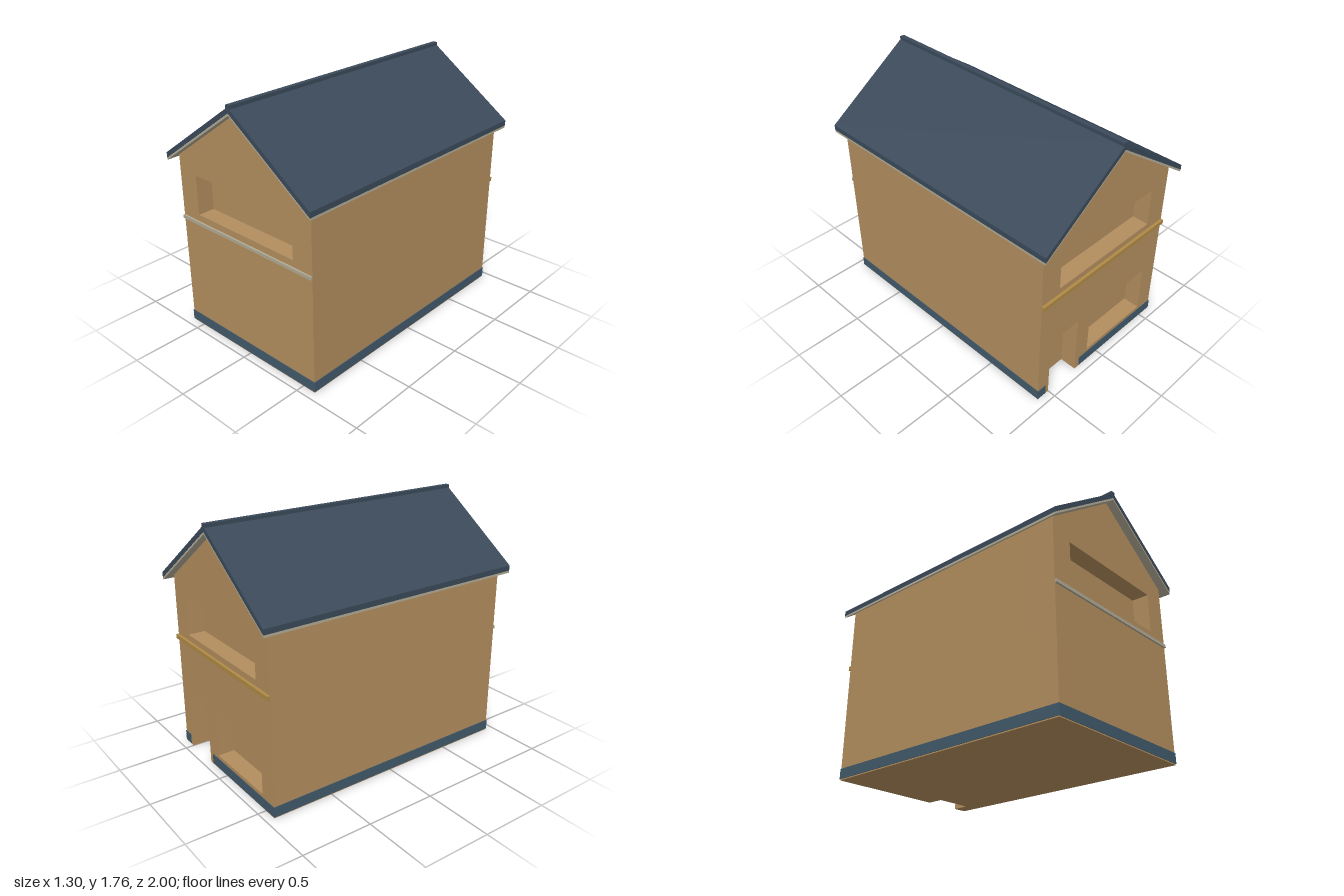
import * as THREE from 'three';

const W = 0.6, D = 0.94, RECESS = 0.12;      // half width, half depth, opening depth
const APEX = 1.695, SLOPE = 0.697, OVER = 0.65;
const EAVE = APEX - SLOPE * W;

const mat = (color) => new THREE.MeshStandardMaterial({ color, flatShading: true });

export function createModel() {
  const group = new THREE.Group();
  const wall = mat(0xb28d5e), roof = mat(0x3a4959), plinth = mat(0x41596a);
  const trim = mat(0xb0a994), backTrim = mat(0xb08a45);

  const add = (name, geometry, material) => {
    const mesh = new THREE.Mesh(geometry, material);
    mesh.name = name;
    group.add(mesh);
    return mesh;
  };
  const box = (name, x0, x1, y0, y1, z0, z1, material) => {
    const m = add(name, new THREE.BoxGeometry(x1 - x0, y1 - y0, z1 - z0), material);
    m.position.set((x0 + x1) / 2, (y0 + y1) / 2, (z0 + z1) / 2);
  };
  const polygon = (points) => new THREE.Shape(points.map(([x, y]) => new THREE.Vector2(x, y)));
  const rect = (x0, x1, y0, y1) => polygon([[x0, y0], [x0, y1], [x1, y1], [x1, y0]]);
  const extrude = (name, shape, z0, z1, material) => {
    const g = new THREE.ExtrudeGeometry(shape, { depth: z1 - z0, bevelEnabled: false });
    g.translate(0, 0, z0);
    add(name, g, material);
  };

  // Gabled outline, optionally with a doorway cut up from the ground
  const gable = (door = []) =>
    polygon([[-W, 0], ...door, [W, 0], [W, EAVE], [0, APEX], [-W, EAVE]]);

  // Core, with a pierced wall in front of it at each end
  extrude('houseCore', gable(), -D + RECESS, D - RECESS, wall);

  const front = gable();
  front.holes.push(rect(-0.44, 0.44, 0.89, 1.17));
  extrude('frontWall', front, D - RECESS, D, wall);

  const back = gable([[0.23, 0], [0.23, 0.46], [0.5, 0.46], [0.5, 0]]);
  back.holes.push(rect(-0.44, 0.44, 0.89, 1.17), rect(-0.465, 0.11, 0.105, 0.46));
  extrude('backWall', back, -D, -D + RECESS, wall);

  // Plinth strips, leaving a gap at the back door
  const P = 0.004, lo = 0.008, hi = 0.08;
  box('plinthFront', -W - P, W + P, lo, hi, D, D + P, plinth);
  for (const s of [-1, 1]) {
    box('plinthSide', s * W - (s < 0 ? P : 0), s * W + (s > 0 ? P : 0), lo, hi, -D - P, D + P, plinth);
  }
  box('plinthBackWide', -W - P, 0.19, lo, hi, -D - P, -D, plinth);
  box('plinthBackShort', 0.53, W + P, lo, hi, -D - P, -D, plinth);

  // Storey bands
  box('frontBand', -W, W, 0.82, 0.843, D, D + 0.013, trim);
  box('backBand', -W, W, 0.818, 0.848, -D - 0.02, -D, backTrim);

  // Roof layers: chevrons with vertical eave cuts
  const chevron = (from, to) => {
    const drop = SLOPE * OVER;
    return polygon([
      [-OVER, from - drop], [0, from], [OVER, from - drop],
      [OVER, to - drop], [0, to], [-OVER, to - drop],
    ]);
  };
  extrude('roofUnderlay', chevron(APEX, APEX + 0.016), -0.998, 0.998, trim);
  extrude('roofCovering', chevron(APEX + 0.016, APEX + 0.053), -1, 1, roof);
  box('ridgeCap', -0.017, 0.017, 1.72, 1.76, -1, 1, roof);

  return group;
}
